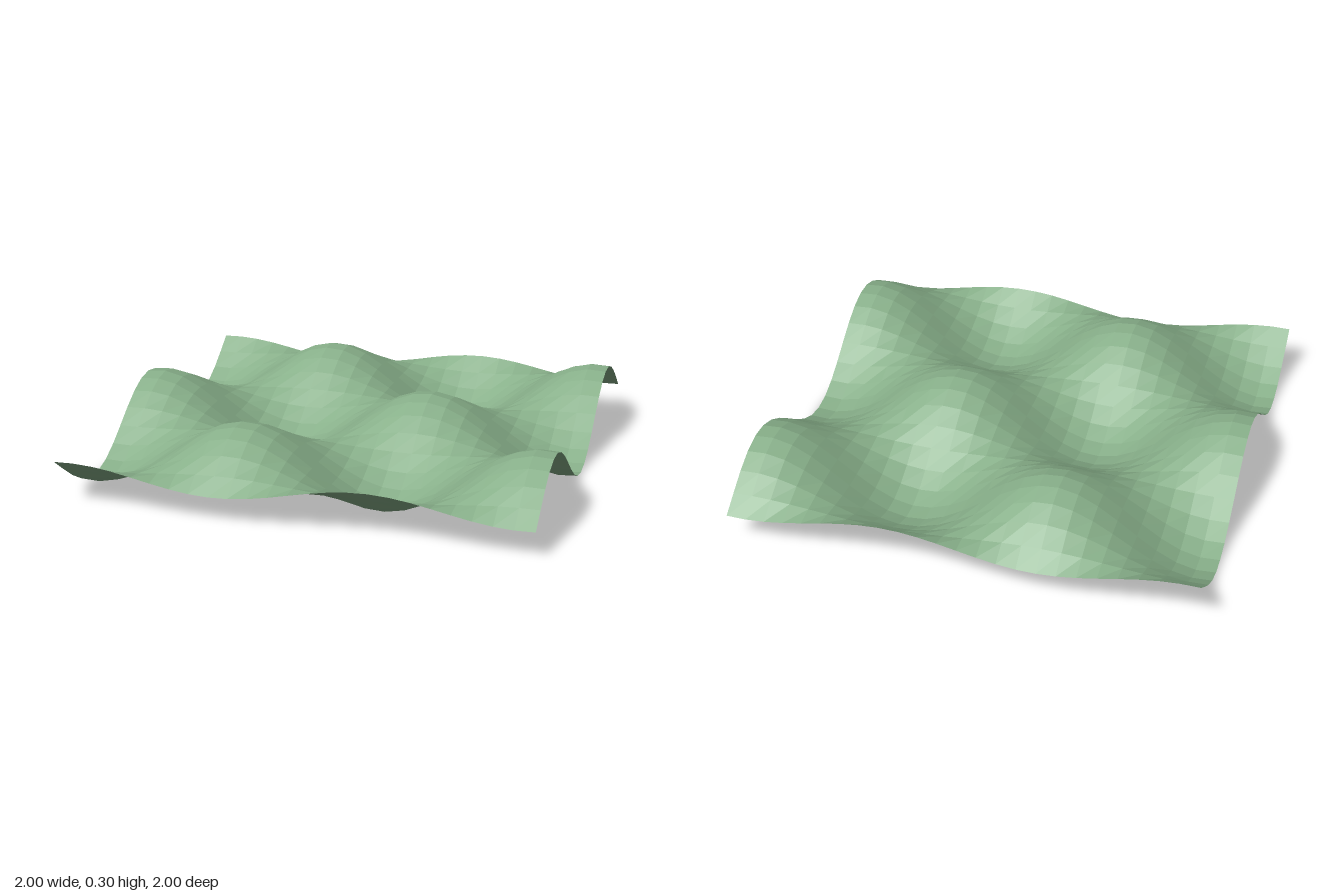
import * as THREE from 'three';

const SIZE = 2, SEGMENTS = 24, AMPLITUDE = 0.15, FREQUENCY = 5;

// Height of the rolling ground: crossed waves along x and z
const height = (x, z) => AMPLITUDE * (1 + Math.sin(FREQUENCY * x) * Math.cos(FREQUENCY * z));

export function createModel() {
  const group = new THREE.Group();
  group.name = 'terrain';

  // Flat grid laid on the ground, then lifted by the wave rule
  const geometry = new THREE.PlaneGeometry(SIZE, SIZE, SEGMENTS, SEGMENTS);
  geometry.rotateX(-Math.PI / 2);
  const position = geometry.attributes.position;
  for (let i = 0; i < position.count; i++) {
    position.setY(i, height(position.getX(i), position.getZ(i)));
  }
  geometry.computeVertexNormals();

  const material = new THREE.MeshStandardMaterial({
    color: 0x88b08a,
    flatShading: true,
    side: THREE.DoubleSide,
  });
  const ground = new THREE.Mesh(geometry, material);
  ground.name = 'rollingGround';
  group.add(ground);
  return group;
}
